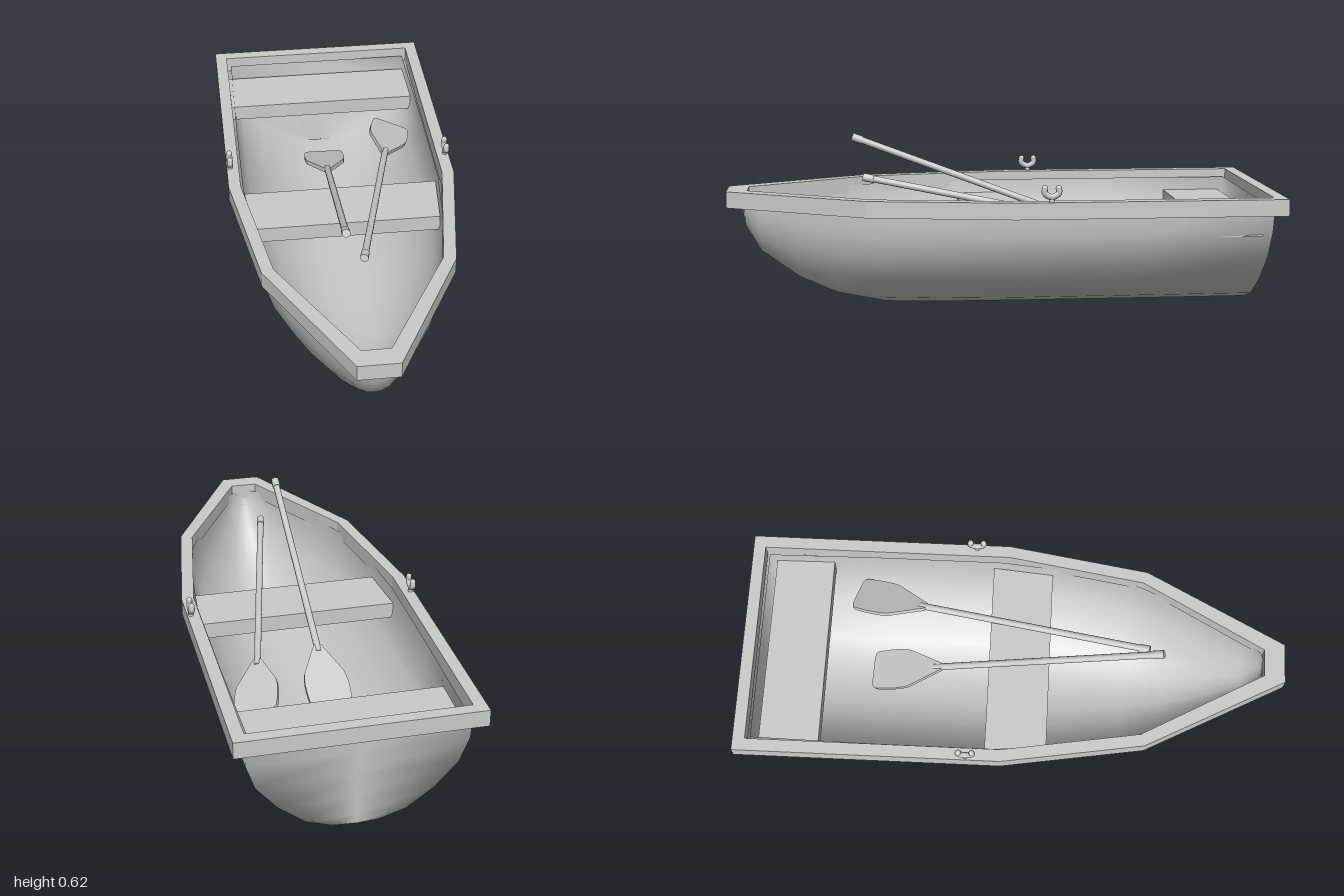
import * as THREE from 'three';

const material = new THREE.MeshStandardMaterial({ color: 0xcccccc });
const shellMaterial = new THREE.MeshStandardMaterial({ color: 0xcccccc, side: THREE.DoubleSide });

function addMesh(parent, name, geometry, mat = material) {
  const mesh = new THREE.Mesh(geometry, mat);
  mesh.name = name;
  parent.add(mesh);
  return mesh;
}

// Half cross-section, keel to gunwale: [fraction of half width, fraction of height]
const halfSection = [[0, 0], [0.21, 0.012], [0.45, 0.09], [0.7, 0.28], [0.905, 0.52], [0.99, 0.76], [1, 1]];
const section = [...halfSection.slice(1).reverse().map(([u, v]) => [-u, v]), ...halfSection];

// Hull stations, stern to bow: [z, half width, keel height]
const stations = [
  [-0.93, 0, 0.003], [-0.93, 0.38, 0.003], [-0.5, 0.386, 0.003], [-0.05, 0.386, 0.003],
  [0.22, 0.36, 0.003], [0.42, 0.328, 0.007], [0.6, 0.26, 0.04], [0.74, 0.187, 0.1],
  [0.88, 0.112, 0.2], [0.935, 0.065, 0.29], [0.95, 0, 0.37],
];
const hullTop = 0.4;

// Lofts the hull skin, moved inwards by the wall thickness for the inside
function hullSkin(wall) {
  const positions = [], index = [], n = section.length;
  stations.forEach(([z, width, keel], row) => {
    const w = Math.max(0, width - wall);
    const k = Math.min(keel + wall, hullTop - 0.01);
    for (const [u, v] of section) {
      const y = k + (hullTop - k) * v;
      const rake = row < 2 ? -0.03 * Math.min(1, y / 0.37) : 0;
      positions.push(u * w, y, z + rake + (row < 2 ? wall : row > 5 ? -wall : 0));
    }
  });
  for (let j = 0; j < stations.length - 1; j++) {
    for (let i = 0; i < n - 1; i++) {
      const a = j * n + i, b = a + 1, c = a + n, d = c + 1;
      if (wall) index.push(a, c, b, b, c, d);
      else index.push(a, b, c, b, d, c);
    }
  }
  const geometry = new THREE.BufferGeometry();
  geometry.setAttribute('position', new THREE.Float32BufferAttribute(positions, 3));
  geometry.setIndex(index);
  geometry.computeVertexNormals();
  return geometry;
}

// Plan outlines are given for the +x side, stern to bow, and mirrored; shape y is z
function planPoints(side) {
  return [...side, ...side.slice().reverse().map(([x, z]) => [-x, z])].map(([x, z]) => new THREE.Vector2(x, z));
}

function plate(outline, hole, bottom, height) {
  const shape = new THREE.Shape(planPoints(outline));
  if (hole) shape.holes.push(new THREE.Path(planPoints(hole)));
  const geometry = new THREE.ExtrudeGeometry(shape, { depth: height, bevelEnabled: false });
  geometry.rotateX(Math.PI / 2);
  geometry.translate(0, bottom + height, 0);
  return geometry;
}

function makeOar(name, grip, tip, roll) {
  const oar = new THREE.Group();
  oar.name = name;
  const length = grip.distanceTo(tip), bladeLength = 0.28;
  const rod = (radius, from, to) => {
    const g = new THREE.CylinderGeometry(radius, radius, to - from, 10);
    g.rotateX(Math.PI / 2);
    g.translate(0, 0, (from + to) / 2);
    return g;
  };
  addMesh(oar, 'oarShaft', rod(0.0125, 0, length - bladeLength + 0.03));
  addMesh(oar, 'oarGrip', rod(0.015, 0, 0.04));

  // Flat blade widening from the shaft
  const blade = new THREE.Shape();
  const start = length - bladeLength;
  blade.moveTo(-0.013, start);
  blade.lineTo(0.013, start);
  blade.lineTo(0.072, start + 0.13);
  blade.quadraticCurveTo(0.084, start + 0.18, 0.074, length - 0.015);
  blade.quadraticCurveTo(0.07, length, 0.04, length);
  blade.lineTo(-0.04, length);
  blade.quadraticCurveTo(-0.07, length, -0.074, length - 0.015);
  blade.quadraticCurveTo(-0.084, start + 0.18, -0.072, start + 0.13);
  const bladeGeometry = new THREE.ExtrudeGeometry(blade, { depth: 0.016, bevelEnabled: false, curveSegments: 5 });
  bladeGeometry.translate(0, 0, -0.008);
  bladeGeometry.rotateX(Math.PI / 2);
  addMesh(oar, 'oarBlade', bladeGeometry).rotation.z = roll;

  oar.position.copy(grip);
  oar.lookAt(tip);
  return oar;
}

// Forked rowlock, open upwards, on a short pin
function makeRowlock(name, x) {
  const lock = new THREE.Group();
  lock.name = name;
  const fork = new THREE.CatmullRomCurve3(
    [[0.479, -0.024], [0.462, -0.025], [0.448, 0], [0.462, 0.025], [0.479, 0.024]]
      .map(([y, z]) => new THREE.Vector3(0, y, z)));
  addMesh(lock, 'rowlockFork', new THREE.TubeGeometry(fork, 16, 0.011, 8));
  for (const z of [-0.024, 0.024]) {
    addMesh(lock, 'rowlockTip', new THREE.SphereGeometry(0.011, 8, 6)).position.set(0, 0.479, z);
  }
  addMesh(lock, 'rowlockPin', new THREE.CylinderGeometry(0.009, 0.011, 0.04, 8)).position.y = 0.432;
  lock.position.set(x, 0, -0.155);
  return lock;
}

export function createModel() {
  const boat = new THREE.Group();
  boat.name = 'rowingBoat';

  // Hull, outside and inside
  addMesh(boat, 'hullOutside', hullSkin(0), shellMaterial);
  addMesh(boat, 'hullInside', hullSkin(0.018), shellMaterial);

  // Gunwale
  const outer = [[0.423, -1], [0.423, -0.03], [0.34, 0.49], [0.073, 1]];
  const inner = [[0.378, -0.955], [0.378, -0.03], [0.297, 0.475], [0.05, 0.925]];
  addMesh(boat, 'gunwale', plate(outer, inner, 0.37, 0.06));

  // Seats
  addMesh(boat, 'sternSeat', plate([[0.374, -0.92], [0.374, -0.7]], null, 0.29, 0.06));
  addMesh(boat, 'middleSeat', plate([[0.366, -0.09], [0.346, 0.135]], null, 0.29, 0.06));

  // Oars resting on the middle seat
  boat.add(makeOar('rightOar', new THREE.Vector3(-0.053, 0.613, 0.54), new THREE.Vector3(-0.02, 0.212, -0.53), 0));
  boat.add(makeOar('leftOar', new THREE.Vector3(0.015, 0.47, 0.5), new THREE.Vector3(0.268, 0.275, -0.61), 0.3));

  // Rowlocks
  boat.add(makeRowlock('leftRowlock', 0.41), makeRowlock('rightRowlock', -0.41));
  return boat;
}
